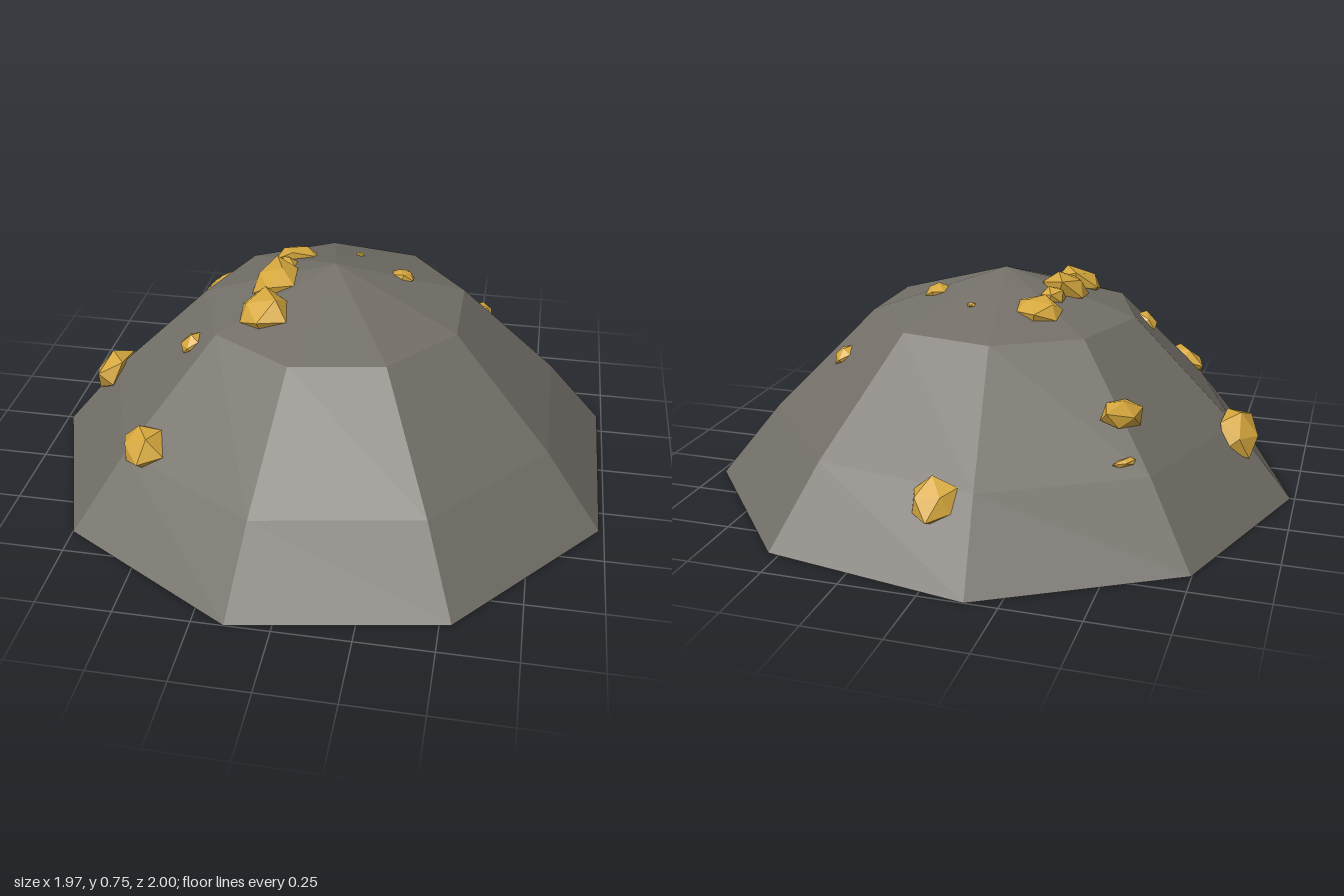
import * as THREE from 'three';
import { mergeVertices } from 'three/addons/utils/BufferGeometryUtils.js';

const SIDES = 9;
const CENTRE_X = 0.03;
// mound profile: [corner radius, height], from base to peak
const PROFILE = [[1.015, 0], [0.81, 0.25], [0.458, 0.6], [0, 0.745]];

const rock = new THREE.MeshStandardMaterial({ color: 0x736f68 });
rock.name = 'grey rock';
const gold = new THREE.MeshStandardMaterial({ color: 0xd6a83e });
gold.name = 'gold';

// small seeded random generator
function seeded(seed) {
  let s = seed * 7919 + 17;
  return () => (s = (s * 16807) % 2147483647) / 2147483647;
}

// separate facets with one normal each
function faceted(geometry) {
  const g = geometry.index ? geometry.toNonIndexed() : geometry;
  g.computeVertexNormals();
  return g;
}

// height of the faceted mound above a point on the ground
function heightAt(x, z) {
  let reach = 0;
  for (let i = 0; i < SIDES; i++) {
    const a = (i / SIDES) * Math.PI * 2;
    reach = Math.max(reach, (x - CENTRE_X) * Math.cos(a) + z * Math.sin(a));
  }
  const r = reach / Math.cos(Math.PI / SIDES);
  for (let i = 0; i < PROFILE.length - 1; i++) {
    const [r0, y0] = PROFILE[i];
    const [r1, y1] = PROFILE[i + 1];
    if (r >= r1) return y0 + ((y1 - y0) * (r0 - r)) / (r0 - r1);
  }
  return 0;
}

function normalAt(x, z) {
  const e = 0.02;
  return new THREE.Vector3(
    heightAt(x - e, z) - heightAt(x + e, z),
    2 * e,
    heightAt(x, z - e) - heightAt(x, z + e)
  ).normalize();
}

function makeMound() {
  const points = [new THREE.Vector2(0, 0), ...PROFILE.map(([r, y]) => new THREE.Vector2(r, y))];
  const geometry = faceted(new THREE.LatheGeometry(points, SIDES, -Math.PI / 2));
  const mound = new THREE.Mesh(geometry, rock);
  mound.name = 'rockMound';
  mound.position.x = CENTRE_X;
  return mound;
}

// irregular twenty-sided lump, half sunk into the slope
function makeNugget([x, z, sx, sy, sz, yaw = 0], index) {
  const random = seeded(index + 1);
  let geometry = new THREE.IcosahedronGeometry(1.08, 0);
  geometry.deleteAttribute('normal');
  geometry.deleteAttribute('uv');
  geometry = mergeVertices(geometry);
  const p = geometry.attributes.position;
  for (let i = 0; i < p.count; i++) {
    const k = 0.85 + random() * 0.3;
    p.setXYZ(i, p.getX(i) * k * sx, p.getY(i) * k * sy, p.getZ(i) * k * sz);
  }
  geometry.rotateY(yaw);
  const nugget = new THREE.Mesh(faceted(geometry), gold);
  nugget.name = `goldNugget${index + 1}`;
  nugget.position.set(x, heightAt(x, z), z);
  nugget.quaternion.setFromUnitVectors(new THREE.Vector3(0, 1, 0), normalAt(x, z));
  return nugget;
}

// x, z, half width, half thickness, half depth, turn
const NUGGETS = [
  [-0.795, -0.01, 0.085, 0.055, 0.1],
  [-0.525, 0.52, 0.08, 0.055, 0.08],
  [-0.425, 0.23, 0.045, 0.025, 0.045],
  [-0.18, 0.205, 0.085, 0.05, 0.085],
  [-0.175, 0.03, 0.085, 0.055, 0.1],
  [-0.16, -0.085, 0.045, 0.035, 0.045],
  [-0.145, -0.205, 0.08, 0.04, 0.065],
  [-0.475, -0.41, 0.055, 0.035, 0.09, -0.58],
  [-0.51, -0.525, 0.014, 0.014, 0.042, -0.88],
  [0.015, -0.805, 0.08, 0.05, 0.075],
  [0.08, -0.235, 0.015, 0.01, 0.013],
  [0.53, -0.275, 0.035, 0.022, 0.038],
  [0.25, -0.1, 0.036, 0.022, 0.04],
];

export function createModel() {
  const model = new THREE.Group();
  model.name = 'goldOreMound';
  model.add(makeMound());
  const nuggets = new THREE.Group();
  nuggets.name = 'goldNuggets';
  NUGGETS.forEach((spec, i) => nuggets.add(makeNugget(spec, i)));
  model.add(nuggets);
  return model;
}
